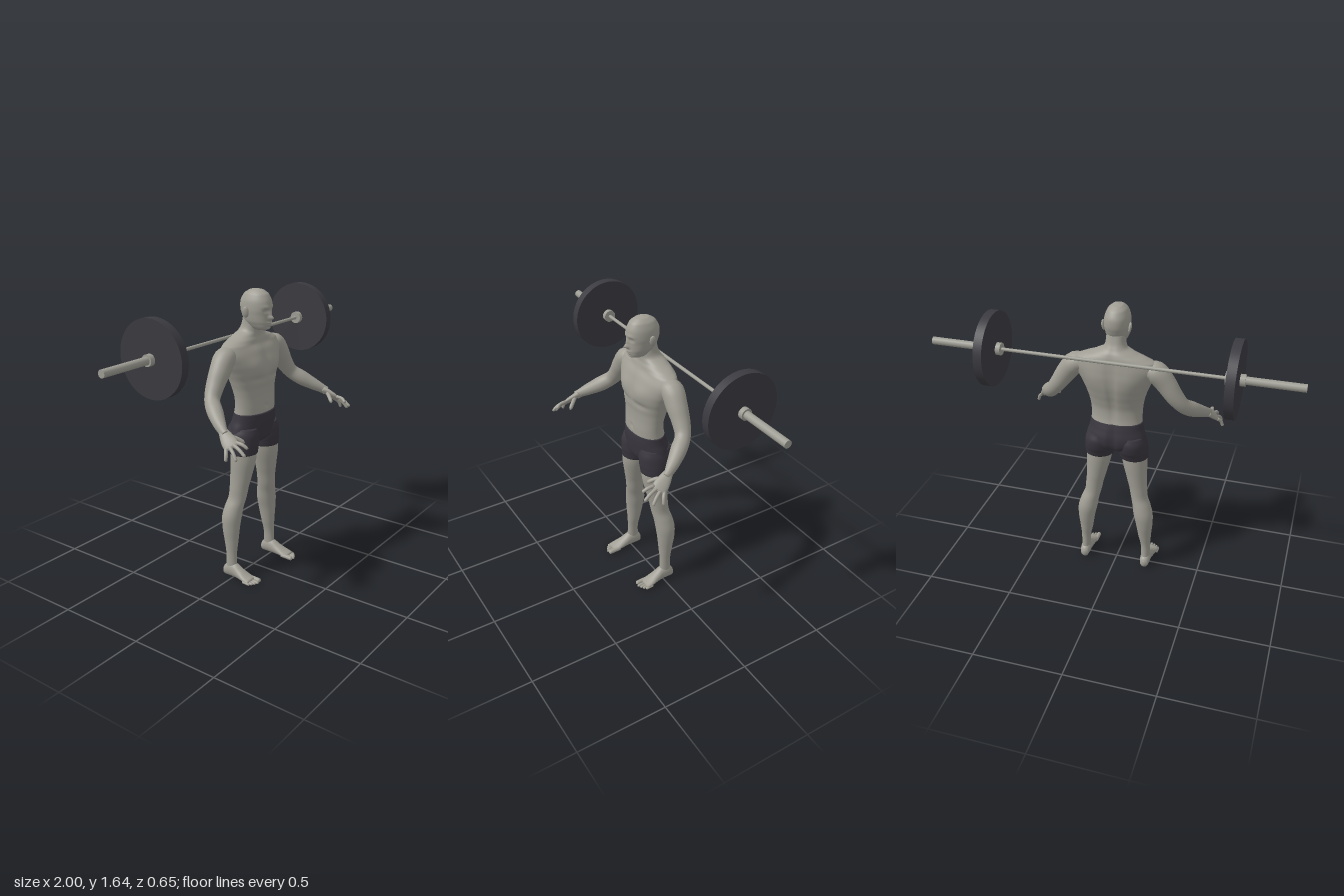
import * as THREE from 'three';

const mat = (name, color) => Object.assign(new THREE.MeshStandardMaterial({ color }), { name });
const V3 = (a) => new THREE.Vector3(a[0], a[1], a[2]);
const X = V3([1, 0, 0]), Y = V3([0, 1, 0]), Z = V3([0, 0, 1]);
const bump = (x, y, cx, cy, sx, sy) => Math.exp(-(((x - cx) / sx) ** 2) - ((y - cy) / sy) ** 2);

// Smooth skin over sections [x, y, z, ru, rv]. With u and v given the rings stay
// parallel; otherwise they follow the path, with rv lying along ref.
function loft(secs, { u, v, ref = Z, n = 24, steps = 4, power = 1, rule } = {}) {
  const path = new THREE.CatmullRomCurve3(secs.map(V3), false, 'centripetal');
  const radii = new THREE.CatmullRomCurve3(secs.map((s) => new THREE.Vector3(s[3], s[4], 0)), false, 'catmullrom', 0.4);
  const rings = (secs.length - 1) * steps;
  const pos = [], index = [];
  const sp = (a) => Math.sign(a) * Math.abs(a) ** power;
  for (let i = 0; i <= rings; i++) {
    const t = i / rings, c = path.getPoint(t), r = radii.getPoint(t);
    let a = u, b = v;
    if (!a) {
      const d = path.getTangent(t);
      b = ref.clone().addScaledVector(d, -ref.dot(d)).normalize();
      a = b.clone().cross(d);
    }
    for (let j = 0; j < n; j++) {
      const q = (j / n) * Math.PI * 2;
      const p = c.clone().addScaledVector(a, sp(Math.cos(q)) * r.x).addScaledVector(b, sp(Math.sin(q)) * r.y);
      if (rule) rule(p, Math.sin(q));
      pos.push(p.x, p.y, p.z);
      if (i < rings) {
        const k = i * n + j, l = i * n + ((j + 1) % n);
        index.push(k, l, k + n, l, l + n, k + n);
      }
    }
  }
  // End caps
  const first = pos.length / 3;
  pos.push(...secs[0].slice(0, 3), ...secs[secs.length - 1].slice(0, 3));
  for (let j = 0; j < n; j++) {
    const l = (j + 1) % n, e = rings * n;
    index.push(first, l, j, first + 1, e + j, e + l);
  }
  const g = new THREE.BufferGeometry();
  g.setAttribute('position', new THREE.Float32BufferAttribute(pos, 3));
  g.setIndex(index);
  g.computeVertexNormals();
  return g;
}

// Level rings from rows [y, centre x, half width, front z, back z], top to bottom
const level = (rows, opts) => loft(
  rows.map(([y, x, w, f, b]) => [x, y, (f + b) / 2, w, (f - b) / 2]), { u: X, v: Z, ...opts });

function mirrored(geo) {
  const g = geo.clone().scale(-1, 1, 1), a = g.index.array;
  for (let i = 0; i < a.length; i += 3) [a[i], a[i + 1]] = [a[i + 1], a[i]];
  g.computeVertexNormals();
  return g;
}

export function createModel() {
  const skin = mat('skin grey', 0xa09e94);
  const cloth = mat('shorts charcoal', 0x39363e);
  const steel = mat('bar steel', 0x9e9d94);
  const rubber = mat('plate charcoal', 0x3b3a40);
  const model = new THREE.Group();
  model.name = 'lifter';
  const add = (name, geo, m) => {
    const mesh = new THREE.Mesh(geo, m);
    mesh.name = name;
    model.add(mesh);
    return mesh;
  };
  const pair = (name, geo, m) => {
    add(name + 'Left', geo, m);
    add(name + 'Right', mirrored(geo), m);
  };

  // Head, with brow, eye sockets, nose and lips pushed out of the surface
  add('head', level([
    [1.636, 0, 0.006, 0.026, 0.012], [1.629, 0, 0.03, 0.06, -0.02], [1.608, 0, 0.052, 0.09, -0.052],
    [1.57, 0, 0.066, 0.107, -0.072], [1.53, 0, 0.069, 0.11, -0.073], [1.5, 0, 0.066, 0.106, -0.064],
    [1.47, 0, 0.061, 0.106, -0.05], [1.445, 0, 0.05, 0.105, -0.03], [1.427, 0, 0.038, 0.1, 0],
    [1.42, 0, 0.022, 0.085, 0.02],
  ], {
    n: 64, steps: 6, power: 0.93,
    rule: (p, s) => {
      if (s <= 0) return;
      const x = Math.abs(p.x), y = p.y;
      p.z += s * (0.024 * bump(x, y, 0, 1.487, 0.011, 0.011) + 0.012 * bump(x, y, 0, 1.507, 0.009, 0.018)
        + 0.005 * bump(x, y, 0.025, 1.546, 0.022, 0.008) - 0.011 * bump(x, y, 0.027, 1.526, 0.014, 0.01)
        + 0.004 * bump(x, y, 0.027, 1.525, 0.008, 0.005) + 0.007 * bump(x, y, 0, 1.461, 0.02, 0.005)
        + 0.006 * bump(x, y, 0, 1.449, 0.017, 0.005) - 0.004 * bump(x, y, 0, 1.439, 0.02, 0.005));
    },
  }), skin);
  const ear = new THREE.SphereGeometry(1, 14, 10).scale(0.009, 0.03, 0.018).rotateZ(-0.15).rotateY(-0.3).translate(0.071, 1.517, 0.0);
  pair('ear', ear, skin);

  // Neck, shoulders and trunk, with chest, stomach and back relief
  add('torso', level([
    [1.49, 0, 0.05, 0.03, -0.055], [1.44, 0, 0.054, 0.038, -0.068], [1.412, 0, 0.066, 0.035, -0.082],
    [1.388, 0, 0.115, 0.035, -0.097], [1.365, 0, 0.178, 0.042, -0.105], [1.345, 0, 0.218, 0.052, -0.11],
    [1.3, 0, 0.232, 0.072, -0.113], [1.25, 0, 0.212, 0.088, -0.114], [1.2, 0, 0.188, 0.095, -0.11],
    [1.15, 0, 0.168, 0.092, -0.099], [1.1, 0, 0.154, 0.087, -0.084], [1.05, 0, 0.146, 0.087, -0.072],
    [1, 0, 0.143, 0.09, -0.073], [0.95, 0, 0.145, 0.09, -0.083],
  ], {
    n: 56, steps: 5, power: 0.94,
    rule: (p, s) => {
      const x = Math.abs(p.x), y = p.y;
      if (s > 0) p.z += s * (0.012 * bump(x, y, 0.085, 1.235, 0.06, 0.05) - 0.008 * bump(x, y, 0, 1.24, 0.016, 0.07)
        - 0.007 * bump(x, y, 0.08, 1.165, 0.06, 0.015) - 0.003 * bump(x, y, 0, 1.08, 0.012, 0.07)
        - 0.009 * bump(x, y, 0, 1.005, 0.009, 0.009) - 0.006 * bump(x, y, 0.06, 1.345, 0.06, 0.015));
      else p.z -= s * (0.014 * bump(x, y, 0, 1.17, 0.018, 0.2) - 0.008 * bump(x, y, 0.1, 1.25, 0.05, 0.07));
    },
  }), skin);

  // Shorts: seat and two legs
  add('shortsSeat', level([
    [0.968, 0, 0.147, 0.095, -0.082], [0.93, 0, 0.153, 0.097, -0.094], [0.885, 0, 0.166, 0.093, -0.106],
    [0.845, 0, 0.172, 0.088, -0.104], [0.81, 0, 0.15, 0.078, -0.088], [0.79, 0, 0.07, 0.05, -0.055],
  ], {
    n: 48, steps: 5,
    rule: (p, s) => {
      if (s < 0) p.z -= s * 0.018 * bump(p.x, p.y, 0, 0.86, 0.015, 0.07);
    },
  }), cloth);
  pair('shortsLeg', level([
    [0.89, 0.088, 0.072, 0.08, -0.09], [0.85, 0.094, 0.081, 0.09, -0.103], [0.8, 0.096, 0.085, 0.09, -0.094],
    [0.77, 0.099, 0.083, 0.086, -0.08], [0.742, 0.101, 0.08, 0.083, -0.07],
  ], { n: 32 }), cloth);

  // Legs
  pair('leg', level([
    [0.77, 0.1, 0.074, 0.078, -0.066], [0.7, 0.107, 0.07, 0.079, -0.066], [0.6, 0.12, 0.057, 0.062, -0.062],
    [0.54, 0.13, 0.051, 0.05, -0.06], [0.48, 0.139, 0.048, 0.042, -0.063], [0.43, 0.155, 0.052, 0.034, -0.075],
    [0.37, 0.168, 0.056, 0.028, -0.084], [0.3, 0.176, 0.048, 0.022, -0.079], [0.22, 0.179, 0.038, 0.016, -0.065],
    [0.15, 0.184, 0.028, 0.012, -0.053], [0.09, 0.186, 0.026, 0.014, -0.053], [0.04, 0.187, 0.026, 0.02, -0.057],
  ], { n: 32 }), skin);

  // Feet and toes
  pair('foot', loft([
    [0.187, 0.032, -0.072, 0.008, 0.012], [0.187, 0.033, -0.062, 0.024, 0.03], [0.187, 0.045, -0.03, 0.03, 0.044],
    [0.187, 0.044, 0.01, 0.031, 0.043], [0.189, 0.032, 0.05, 0.035, 0.031], [0.192, 0.02, 0.095, 0.041, 0.019],
    [0.193, 0.014, 0.128, 0.039, 0.012],
  ], { u: X, v: Y }), skin);
  [0.162, 0.183, 0.2, 0.215, 0.228].forEach((x, i) => {
    const r = i ? 0.0085 : 0.013, tip = [0.166, 0.168, 0.16, 0.15, 0.138][i];
    pair('toe' + (i + 1), loft([
      [x, r + 0.003, 0.09, r, r], [x, r + 0.001, tip - 0.02, r, r], [x, r, tip - 0.006, r * 0.9, r * 0.9],
      [x, r, tip, r * 0.3, r * 0.3],
    ], { u: X, v: Y, n: 10 }), skin);
  });

  // Arms, from shoulder to wrist
  pair('arm', loft([
    [0.165, 1.305, -0.03, 0.035, 0.045], [0.22, 1.295, -0.025, 0.058, 0.062], [0.272, 1.235, -0.018, 0.057, 0.056],
    [0.32, 1.165, -0.015, 0.048, 0.049], [0.365, 1.105, 0.002, 0.041, 0.041], [0.405, 1.063, 0.052, 0.043, 0.042],
    [0.445, 1.025, 0.11, 0.034, 0.034], [0.475, 0.995, 0.16, 0.021, 0.026], [0.482, 0.985, 0.176, 0.018, 0.026],
  ], { ref: V3([0.35, 0.2, 1]), n: 28 }), skin);

  // Hands: flat palm, four spread fingers and a thumb
  const across = V3([0.64, -0.48, -0.6]);
  const knuckles = V3([0.504, 0.947, 0.23]);
  pair('palm', loft([
    [0.473, 0.997, 0.158, 0.019, 0.025], [0.485, 0.978, 0.185, 0.017, 0.034], [0.497, 0.958, 0.214, 0.015, 0.04],
    [0.506, 0.943, 0.236, 0.011, 0.037], [0.509, 0.938, 0.243, 0.005, 0.028],
  ], { ref: across }), skin);
  const finger = (name, points, r) => pair(name, loft(
    points.map((p, i) => [...p, r * [1, 1, 0.9, 0.35][i], r * [1, 1, 0.9, 0.35][i]]), { ref: across, n: 10 }), skin);
  [[0.474, 0.94, 0.312], [0.51, 0.91, 0.322], [0.54, 0.888, 0.29], [0.556, 0.88, 0.237]].forEach((tip, i) => {
    const k = knuckles.clone().addScaledVector(across, i * 0.02 - 0.03), t = V3(tip);
    const mid = k.clone().lerp(t, 0.5).add(V3([0.003, 0.006, 0.004])), near = k.clone().lerp(t, 0.92);
    finger('finger' + (i + 1), [k, mid, near, t].map((p) => p.toArray()), 0.0095);
  });
  finger('thumb', [[0.475, 0.98, 0.188], [0.447, 0.967, 0.217], [0.426, 0.948, 0.243], [0.42, 0.94, 0.25]], 0.0115);

  // Barbell: rows of name, inner x, outer x, radius, sides
  const rod = (name, a, b, r, sides, m) => add(name,
    new THREE.CylinderGeometry(r, r, b - a, sides).rotateZ(Math.PI / 2).translate((a + b) / 2, 1.364, -0.127), m);
  rod('barShaft', -0.62, 0.62, 0.0095, 16, steel);
  [['sleeve', 0.62, 1, 0.021, 16, steel], ['innerCollar', 0.6, 0.628, 0.034, 16, steel],
    ['outerCollar', 0.672, 0.702, 0.031, 16, steel], ['weightPlate', 0.626, 0.674, 0.203, 64, rubber],
  ].forEach(([name, a, b, r, sides, m]) => {
    rod(name + 'Left', a, b, r, sides, m);
    rod(name + 'Right', -b, -a, r, sides, m);
  });
  return model;
}
